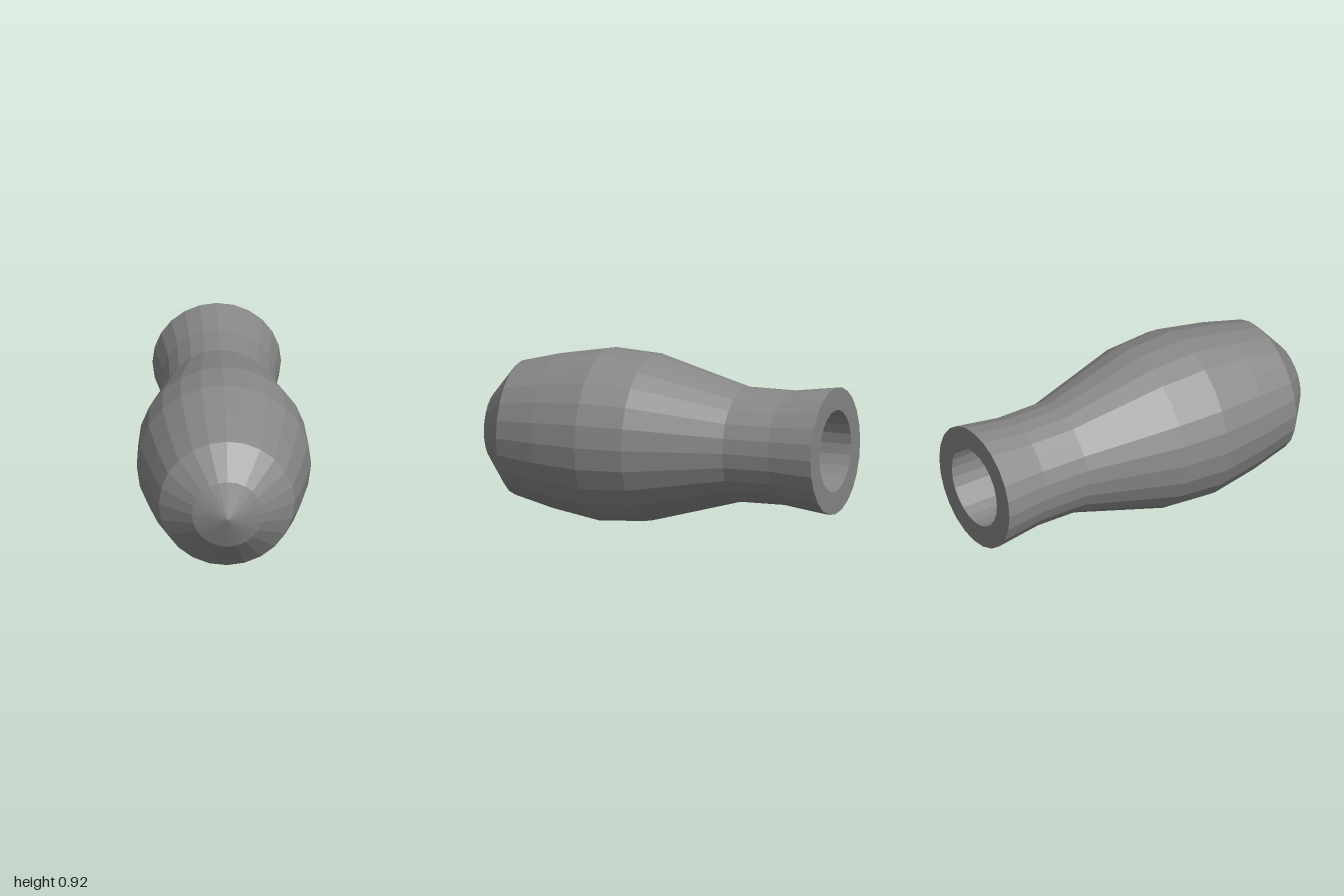
import * as THREE from 'three';

const SIDES = 24;
const AXIS_HEIGHT = 0.461;

// Turns a [radius, z] profile about the z axis
function turned(name, profile, material) {
  const points = profile.map(([r, z]) => new THREE.Vector2(r, z));
  const geometry = new THREE.LatheGeometry(points, SIDES);
  geometry.rotateX(Math.PI / 2);
  const mesh = new THREE.Mesh(geometry, material);
  mesh.name = name;
  mesh.position.y = AXIS_HEIGHT;
  return mesh;
}

export function createModel() {
  const group = new THREE.Group();
  group.name = 'turnedHandle';
  const material = new THREE.MeshStandardMaterial({ color: 0x888888, flatShading: true });

  // Swelling grip that narrows to a neck and flares at the back
  group.add(turned('grip', [
    [0.339, -1], [0.304, -0.74], [0.305, -0.48], [0.445, 0.04],
    [0.46, 0.3], [0.413, 0.57], [0.358, 0.79],
  ], material));

  // Blunt pointed cap at the front
  group.add(turned('cap', [[0.358, 0.79], [0.187, 0.93], [0, 1]], material));

  // Flat rim around the opening
  group.add(turned('rim', [[0.218, -1], [0.339, -1]], material));

  // Bored socket, closed at its inner end
  group.add(turned('socket', [[0, -0.1], [0.218, -0.1], [0.218, -1]], material));

  return group;
}
